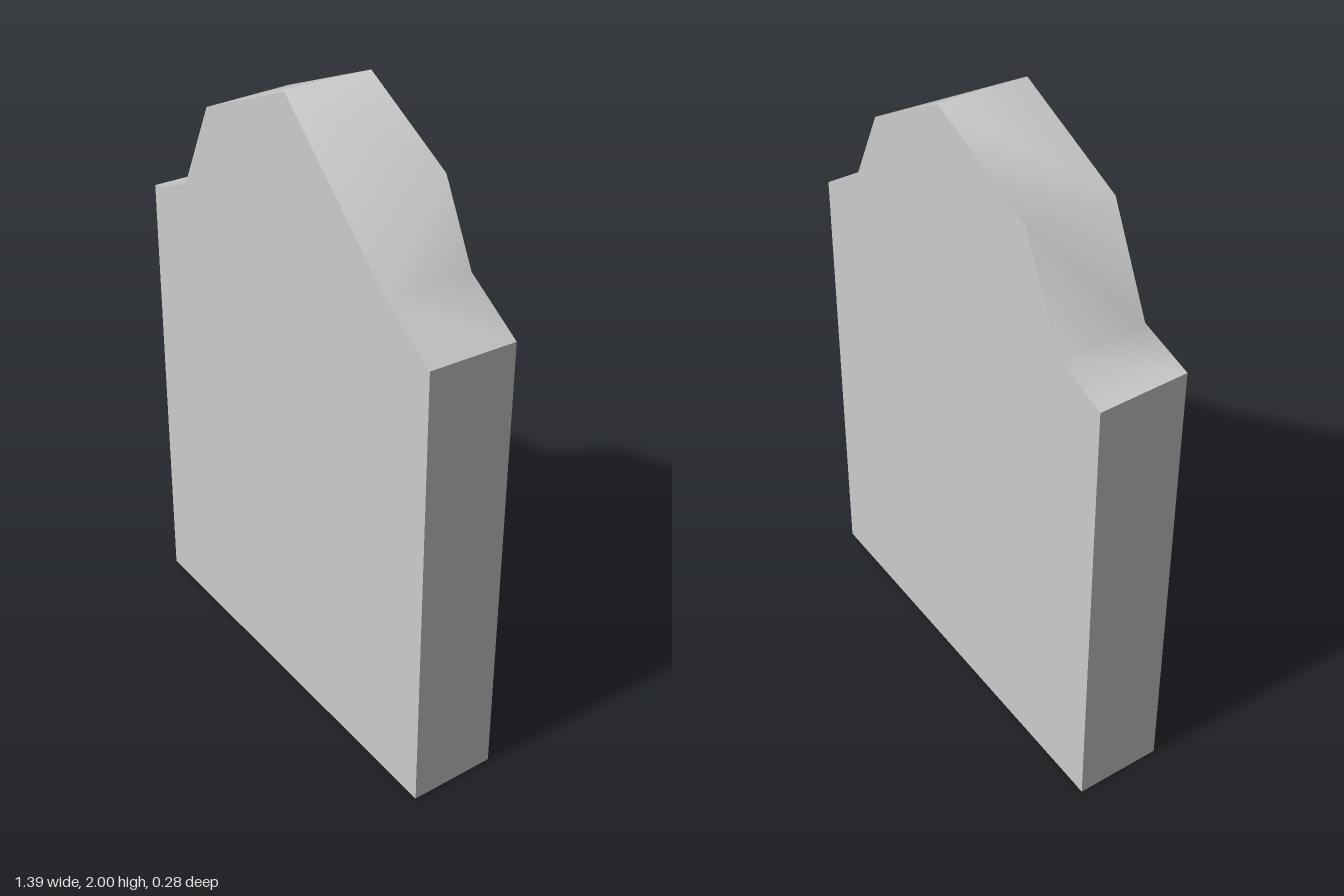
import * as THREE from 'three';

const DEPTH = 0.14;
// Outline points from the left shoulder over the crest to the right shoulder
const backTop = [[0.68, 1.465], [0.49, 1.585], [0.37, 1.82], [0.04, 2], [-0.355, 1.835], [-0.505, 1.525], [-0.685, 1.465]];
// The front edge has a chipped corner, so it skips one point
const frontTop = [[0.675, 1.47], [0.49, 1.59], [0.04, 2], [-0.355, 1.83], [-0.505, 1.522], [-0.683, 1.47]];
const foot = [[-0.695, 0], [0.695, 0]];

// Indexed geometry whose shared corners are shaded smoothly
function surface(points, indices) {
  const g = new THREE.BufferGeometry();
  g.setAttribute('position', new THREE.Float32BufferAttribute(points.flat(), 3));
  g.setIndex(indices);
  g.computeVertexNormals();
  return g;
}

const at = (z) => ([x, y]) => [x, y, z];

function slab(outline) {
  return new THREE.ShapeGeometry(new THREE.Shape(outline.map(([x, y]) => new THREE.Vector2(x, y))));
}

export function createModel() {
  const group = new THREE.Group();
  group.name = 'headstone';
  const stone = new THREE.MeshStandardMaterial({ color: 0xcccccc, side: THREE.DoubleSide });
  stone.name = 'grey stone';
  const add = (name, geometry) => {
    const mesh = new THREE.Mesh(geometry, stone);
    mesh.name = name;
    group.add(mesh);
    return mesh;
  };

  // Flat faces
  add('frontFace', slab([...foot, ...frontTop])).position.z = DEPTH;
  const back = add('backFace', slab([...foot, ...backTop].map(([x, y]) => [-x, y]).reverse()));
  back.rotation.y = Math.PI;
  back.position.z = -DEPTH;

  // Smooth rim over the top, with the chipped corner fanned between the faces
  const n = frontTop.length;
  const indices = [];
  const quad = (f, b) => indices.push(f, n + b, f + 1, f + 1, n + b, n + b + 1);
  quad(0, 0);
  indices.push(1, n + 1, n + 2, 1, n + 2, 2, 2, n + 2, n + 3);
  for (let i = 2; i < n - 1; i++) quad(i, i + 1);
  add('topRim', surface([...frontTop.map(at(DEPTH)), ...backTop.map(at(-DEPTH))], indices));

  // Upright sides; the underside is open
  const side = (name, low, frontHigh, backHigh, order) => add(name, surface(
    [at(DEPTH)(low), at(-DEPTH)(low), at(-DEPTH)(backHigh), at(DEPTH)(frontHigh)], order));
  side('leftSide', foot[1], frontTop[0], backTop[0], [0, 1, 2, 0, 2, 3]);
  side('rightSide', foot[0], frontTop[n - 1], backTop[n], [0, 2, 1, 0, 3, 2]);

  return group;
}
